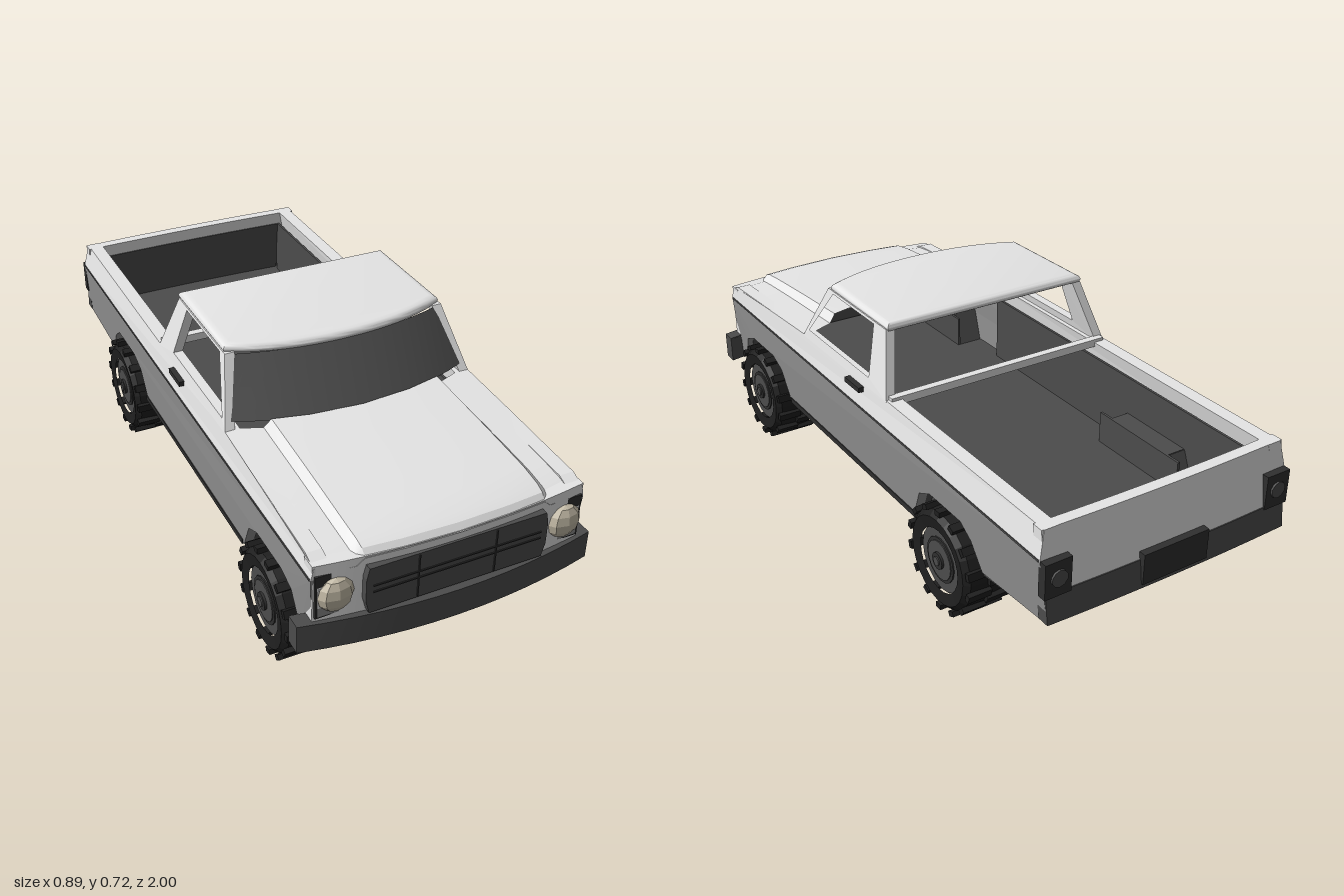
import * as THREE from 'three';
import { toCreasedNormals } from 'three/addons/utils/BufferGeometryUtils.js';

const mat = (name, color, extra = {}) => {
  const m = new THREE.MeshStandardMaterial({ color, ...extra });
  m.name = name;
  return m;
};

export function createModel() {
  const truck = new THREE.Group();
  truck.name = 'pickupTruck';
  const white = mat('whitePaint', 0xe6e6e6);
  const grey = mat('greyPaint', 0x8e8e8e);
  const trim = mat('darkTrim', 0x4c4c4c);
  const black = mat('blackTrim', 0x303030);
  const glass = mat('glass', 0x4e4e4e);
  const rubber = mat('rubber', 0x1f1f1f, { flatShading: true });
  const lamp = mat('headlamp', 0xc6bda9, { flatShading: true });

  const add = (name, geo, material, parent = truck) => {
    const m = new THREE.Mesh(geo, material);
    m.name = name;
    parent.add(m);
    return m;
  };
  // Box given by its minimum and maximum corners
  const box = (name, a, b, material, parent) => {
    const g = new THREE.BoxGeometry(b[0] - a[0], b[1] - a[1], b[2] - a[2]);
    g.translate((a[0] + b[0]) / 2, (a[1] + b[1]) / 2, (a[2] + b[2]) / 2);
    return add(name, g, material, parent);
  };
  const warp = (g, rule) => {
    const p = g.attributes.position, v = new THREE.Vector3();
    for (let i = 0; i < p.count; i++) {
      rule(v.fromBufferAttribute(p, i), i);
      p.setXYZ(i, v.x, v.y, v.z);
    }
    g.computeVertexNormals();
    return g;
  };
  // Box bowed across the width and leaning with height
  const bowed = (name, a, b, bow, lean, material) => {
    const g = new THREE.BoxGeometry(b[0] - a[0], b[1] - a[1], b[2] - a[2], 12, 1, 1);
    g.translate((a[0] + b[0]) / 2, (a[1] + b[1]) / 2, (a[2] + b[2]) / 2);
    return add(name, toCreasedNormals(warp(g, v => { v.z += lean * (v.y - 0.38) - bow * v.x * v.x; }), 0.6), material);
  };
  const toShape = pts => new THREE.Shape(pts.map(p => new THREE.Vector2(...p)));

  // Half width of the body at each height
  const widths = [[0.2, 0.4], [0.43, 0.413], [0.51, 0.395], [0.54, 0.389], [0.7, 0.347]];
  const halfWidth = y => {
    let i = 0;
    while (i < widths.length - 2 && y > widths[i + 1][0]) i++;
    const [a, b] = [widths[i], widths[i + 1]];
    return a[1] + (b[1] - a[1]) * (y - a[0]) / (b[0] - a[0]);
  };
  // Side panel drawn as (z, y) points, pushed out to the body width
  const panel = (name, pts, thick, s, material, hole) => {
    const shape = toShape(pts.map(([z, y]) => [-s * z, y]));
    if (hole) shape.holes.push(new THREE.Path(hole.map(([z, y]) => new THREE.Vector2(-s * z, y))));
    const g = new THREE.ExtrudeGeometry(shape, { depth: thick, bevelEnabled: false });
    warp(g, v => {
      const z = -s * v.x;
      v.set(s * (halfWidth(v.y) - thick + v.z - Math.max(0, z - 0.88) * 0.1), v.y, z);
    });
    return add(name, g, material);
  };

  const fenderTop = z => 0.51 - 0.05 * Math.max(0, z - 0.35);
  for (const s of [1, -1]) {
    // Lower side with both wheel arches
    panel('lowerSide', [[0.93, 0.22], [0.87, 0.22], [0.83, 0.31], [0.77, 0.335], [0.61, 0.335], [0.55, 0.305], [0.5, 0.21],
      [-0.33, 0.21], [-0.37, 0.305], [-0.43, 0.335], [-0.59, 0.335], [-0.64, 0.3], [-0.69, 0.225],
      [-0.985, 0.25], [-0.96, 0.43], [0.945, 0.43]], 0.03, s, grey);
    panel('upperSide', [[0.945, 0.43], [-0.96, 0.43], [-0.95, 0.51], [0.35, 0.51], [0.9, fenderTop(0.9)], [0.945, 0.465]], 0.045, s, white);
    panel('sideCrease', [[0.94, 0.426], [-0.955, 0.426], [-0.955, 0.432], [0.94, 0.432]], 0.032, s, trim).position.x = s * 0.002;
    panel('sill', [[0.49, 0.203], [-0.34, 0.203], [-0.335, 0.222], [0.495, 0.222]], 0.03, s, black).position.x = s * 0.003;
    // Cab side with open window
    panel('cabSide', [[0.37, 0.505], [0.265, 0.695], [-0.1, 0.695], [-0.175, 0.505]], 0.03, s, white,
      [[0.335, 0.535], [0.23, 0.687], [-0.03, 0.687], [-0.06, 0.535]]);
    const x = (a, b) => [Math.min(s * a, s * b), Math.max(s * a, s * b)];
    const sideBox = (name, xa, xb, ya, yb, za, zb, m) => {
      const [l, r] = x(xa, xb);
      return box(name, [l, ya, za], [r, yb, zb], m);
    };
    sideBox('doorHandle', 0.39, 0.415, 0.481, 0.497, -0.04, 0.05, black);
    sideBox('innerLiner', 0.343, 0.351, 0.23, 0.465, -0.93, 0.35, trim);
    // Floor strips between the wheel wells
    for (const [a, b] of [[-0.69, -0.95], [0.5, -0.33], [0.93, 0.87]]) {
      const g = new THREE.BoxGeometry(0.12, 0.03, a - b);
      g.translate(s * 0.335, 0.227, (a + b) / 2);
      add('floorStrip', warp(g, v => { v.y += 0.12 * Math.max(0, -0.69 - v.z); }), trim);
    }
    // Wheel wells
    for (const [a, b] of [[-0.69, -0.33], [0.5, 0.87]]) {
      sideBox('wellTop', 0.275, 0.385, 0.335, 0.345, a + 0.05, b - 0.05, trim);
      sideBox('wellInner', 0.275, 0.283, 0.215, 0.345, a, b, trim);
      for (const [z, t] of [[a + 0.025, 0.4], [b - 0.025, -0.4]]) {
        const m = add('wellEnd', new THREE.BoxGeometry(0.11, 0.135, 0.008), trim);
        m.position.set(s * 0.33, 0.28, z);
        m.rotation.x = t;
      }
    }
    // Headlamp and its recess
    sideBox('lampRecess', 0.29, 0.397, 0.305, 0.44, 0.944, 0.951, black);
    sideBox('lampPanel', 0.297, 0.391, 0.34, 0.405, 0.946, 0.954, white);
    sideBox('lampSill', 0.297, 0.391, 0.31, 0.34, 0.946, 0.954, grey);
    const light = add('headlamp', new THREE.SphereGeometry(0.052, 8, 6), lamp);
    light.scale.z = 0.5;
    light.position.set(s * 0.342, 0.375, 0.957);
    // Tail lamp wrapping the corner
    const tail = sideBox('tailLamp', 0.33, 0.412, 0.325, 0.43, -0.983, -0.955, black);
    tail.name = 'tailLamp';
    const lens = add('tailLens', new THREE.CylinderGeometry(0.025, 0.025, 0.008, 10), trim);
    lens.rotation.x = Math.PI / 2;
    lens.position.set(s * 0.37, 0.38, -0.985);
  }

  // Central floor, rising at the tail
  const floor = new THREE.BoxGeometry(0.56, 0.03, 1.88, 1, 1, 40);
  floor.translate(0, 0.227, -0.01);
  add('floor', warp(floor, v => { v.y += 0.12 * Math.max(0, -0.69 - v.z); }), trim);

  // Hood with a raised centre and rounded nose
  const cols = [-1, -0.73, -0.675, -0.4, 0, 0.4, 0.675, 0.73, 1];
  const rows = [0, 0.2, 0.4, 0.6, 0.8, 0.92, 0.97, 1];
  const drop = [0, 0, 0, 0.001, 0.003, 0.008, 0.016, 0.035];
  const hood = new THREE.PlaneGeometry(2, 2, cols.length - 1, rows.length - 1);
  warp(hood, (v, i) => {
    const t = cols[i % cols.length], r = Math.floor(i / cols.length);
    const back = 0.44 - 0.09 * t * t, front = 0.978 - 0.034 * t * t;
    const z = back + (front - back) * rows[r];
    const rise = Math.abs(t) < 0.7 ? 0.025 + 0.008 * (1 - t * t) : 0.008 * (1 - Math.abs(t));
    const y = fenderTop(z) + rise * (1 - 0.25 * rows[r]) - drop[r];
    v.set(t * (halfWidth(fenderTop(z)) - Math.max(0, z - 0.88) * 0.1), y, z);
  });
  add('hood', toCreasedNormals(hood, 0.5), white);

  // Nose, grille and front bumper
  bowed('nose', [-0.402, 0.28, 0.93], [0.402, 0.472, 0.976], 0.2, 0, white);
  const grille = toShape([[-0.26, 0.3], [0.26, 0.3], [0.27, 0.34], [0.27, 0.41], [0.262, 0.445], [-0.262, 0.445], [-0.27, 0.41], [-0.27, 0.34]]);
  const grilleGeo = new THREE.ExtrudeGeometry(grille, { depth: 0.022, bevelEnabled: false });
  grilleGeo.translate(0, 0, 0.96);
  add('grille', grilleGeo, trim);
  for (const y of [0.365, 0.385]) box('grilleBar', [-0.25, y, 0.98], [0.25, y + 0.004, 0.985], black);
  for (const x of [-0.12, 0.11]) box('grillePost', [x - 0.002, 0.305, 0.98], [x + 0.002, 0.44, 0.985], black);
  bowed('frontBumper', [-0.445, 0.205, 0.95], [0.445, 0.293, 0.998], 0.26, 0, trim);
  for (const s of [1, -1]) {
    box('bumperEnd', [s * 0.43 - 0.012, 0.207, 0.9], [s * 0.43 + 0.012, 0.291, 0.935], trim);
  }

  // Roof with curved front edge
  const roof = new THREE.Shape();
  roof.moveTo(-0.322, 0.085);
  roof.lineTo(0.322, 0.085);
  roof.lineTo(0.322, -0.235);
  roof.quadraticCurveTo(0.19, -0.3, 0, -0.3);
  roof.quadraticCurveTo(-0.19, -0.3, -0.322, -0.235);
  const roofGeo = new THREE.ExtrudeGeometry(roof, { depth: 0.004, bevelSize: 0.024, bevelThickness: 0.014, bevelSegments: 3, curveSegments: 8 });
  roofGeo.rotateX(-Math.PI / 2);
  roofGeo.translate(0, 0.698, 0);
  add('roof', toCreasedNormals(roofGeo, 0.7), white);

  // Wrapped windshield and rear window rail
  const shield = new THREE.PlaneGeometry(2, 2, 12, 1);
  warp(shield, v => {
    const t = v.x, top = v.y > 0;
    v.set(t * (top ? 0.336 : 0.38), top ? 0.69 : 0.53, (top ? 0.318 : 0.438) - (top ? 0.055 : 0.085) * t * t);
  });
  add('windshield', shield, glass);
  box('rearWindowRail', [-0.385, 0.495, -0.19], [0.385, 0.52, -0.165], white);

  // Tailgate, rear bumper and plate
  bowed('tailgate', [-0.402, 0.33, -0.975], [0.402, 0.51, -0.94], -0.05, 0.15, white);
  bowed('tailgateLiner', [-0.345, 0.25, -0.94], [0.345, 0.465, -0.934], -0.05, 0.12, trim);
  bowed('rearBumper', [-0.405, 0.25, -0.978], [0.405, 0.332, -0.94], -0.05, 0.15, trim);
  box('plate', [-0.11, 0.262, -1], [0.11, 0.355, -0.975], black);

  // Wheels: tyre, staggered lugs and stepped hub, axle along x
  const tyre = new THREE.LatheGeometry([[0.098, -0.068], [0.135, -0.074], [0.151, -0.058], [0.154, 0], [0.151, 0.058], [0.135, 0.074], [0.098, 0.068]]
    .map(p => new THREE.Vector2(...p)), 24);
  const hubParts = [['rim', 0.1, 0.06, trim], ['rimRing', 0.07, 0.064, black], ['rimDisc', 0.06, 0.067, trim], ['hubCap', 0.026, 0.074, black], ['hubCentre', 0.014, 0.078, trim]];
  for (const s of [1, -1]) for (const z of [0.693, -0.51]) {
    const wheel = new THREE.Group();
    wheel.name = z > 0 ? 'frontWheel' : 'rearWheel';
    add('tyre', tyre, rubber, wheel);
    for (let i = 0; i < 28; i++) {
      const a = i / 28 * Math.PI * 2, side = i % 2 ? 1 : -1;
      const lug = add('lug', new THREE.BoxGeometry(0.016, 0.076, 0.024), rubber, wheel);
      lug.position.set(Math.cos(a) * 0.157, side * 0.034, Math.sin(a) * 0.157);
      lug.rotation.y = -a;
    }
    for (const [name, r, h, m] of hubParts) add(name, new THREE.CylinderGeometry(r, r, h * 2, 16), m, wheel);
    wheel.rotation.z = Math.PI / 2;
    wheel.position.set(s * 0.36, 0.166, z);
    truck.add(wheel);
  }
  return truck;
}
